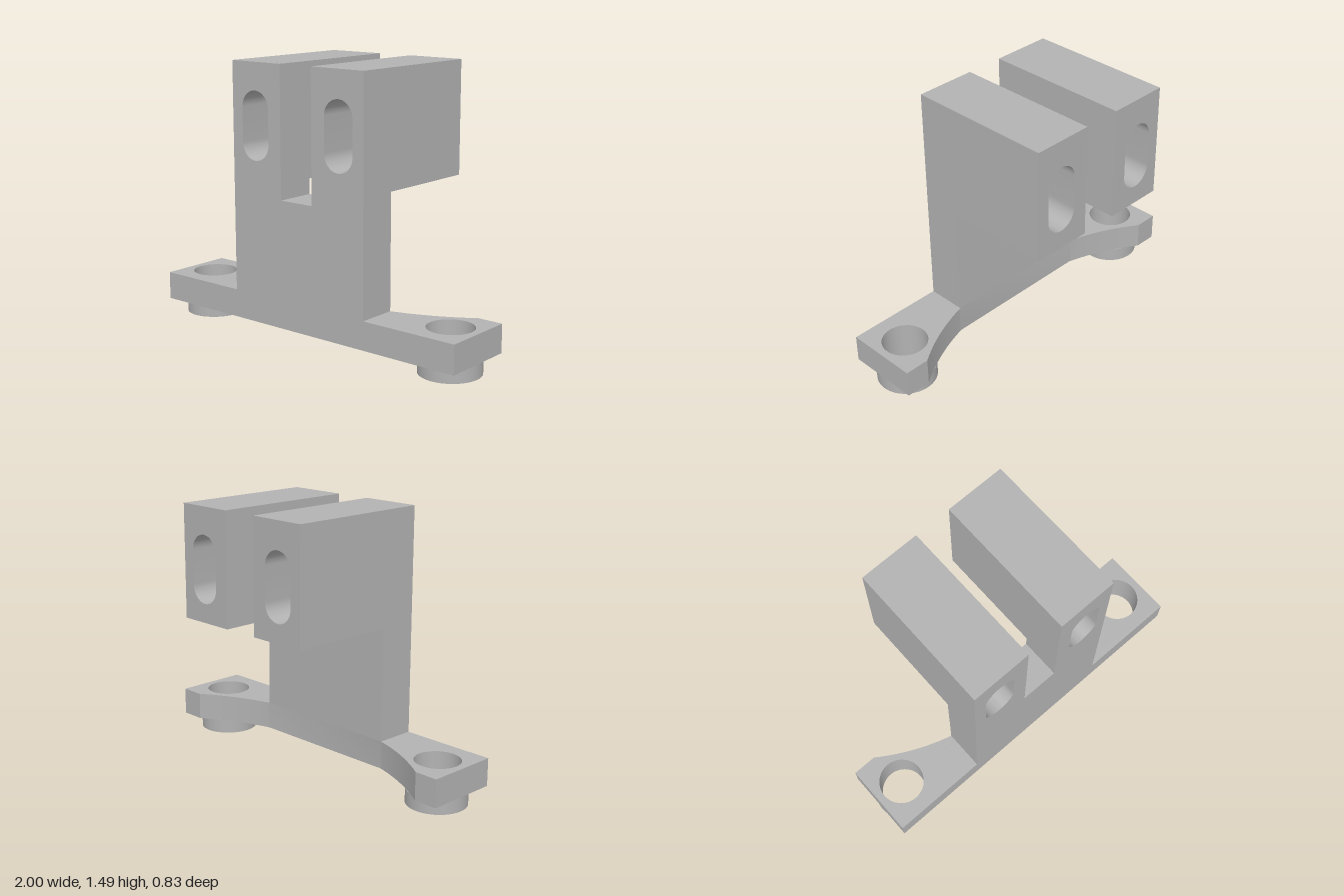
import * as THREE from 'three';
import { toCreasedNormals } from 'three/addons/utils/BufferGeometryUtils.js';

const FRONT = 0.413, WEB_BACK = 0.19;
const BASE_BOTTOM = 0.08, BASE_TOP = 0.235;
const BORE = { x: 0.834, z: 0.205, r: 0.125 };
const CENTER = -0.004; // upright sits slightly off centre

const grey = new THREE.MeshStandardMaterial({ color: 0xb2b2b2 });
grey.name = 'grey';

function extrude(name, shape, depth) {
  const geo = new THREE.ExtrudeGeometry(shape, { depth, bevelEnabled: false, curveSegments: 28 });
  const mesh = new THREE.Mesh(toCreasedNormals(geo, 0.5), grey);
  mesh.name = name;
  return mesh;
}

// Lays a plan outline (drawn with y = -z) flat and lifts it to height y
function layFlat(mesh, y) {
  mesh.rotation.x = -Math.PI / 2;
  mesh.position.y = y;
  return mesh;
}

function circle(x, z, r) {
  return new THREE.Path().absarc(x, -z, r, 0, Math.PI * 2, true);
}

// Mounting foot with concave rear flanks and two bores
function makeBase() {
  const s = new THREE.Shape();
  s.moveTo(-1, -FRONT);
  s.lineTo(1, -FRONT);
  s.lineTo(1, 0.004);
  s.lineTo(0.86, 0.004);
  s.quadraticCurveTo(0.67, -0.13, 0.443, -WEB_BACK);
  s.lineTo(-0.45, -WEB_BACK);
  s.quadraticCurveTo(-0.67, -0.13, -0.865, 0.004);
  s.lineTo(-1, 0.004);
  s.closePath();
  for (const side of [-1, 1]) s.holes.push(circle(side * BORE.x, BORE.z, BORE.r));
  return layFlat(extrude('base', s, BASE_TOP - BASE_BOTTOM), BASE_BOTTOM);
}

// Ring under each bore
function makeBoss(side) {
  const s = new THREE.Shape();
  s.absarc(side * BORE.x, -BORE.z, 0.165, 0, Math.PI * 2, false);
  s.holes.push(circle(side * BORE.x, BORE.z, BORE.r));
  return layFlat(extrude(side > 0 ? 'leftBoss' : 'rightBoss', s, BASE_BOTTOM), 0);
}

// Upright plate with the bottom of the centre notch
function makeUpright() {
  const w = 0.447, n = 0.106, top = 0.865, notch = 0.78;
  const s = new THREE.Shape([
    [-w, BASE_TOP], [w, BASE_TOP], [w, top], [n, top],
    [n, notch], [-n, notch], [-n, top], [-w, top],
  ].map(([x, y]) => new THREE.Vector2(x + CENTER, y)));
  const mesh = extrude('upright', s, FRONT - WEB_BACK);
  mesh.position.z = WEB_BACK;
  return mesh;
}

// Long block with a slot running right through it
function makeArm(side) {
  const x0 = -0.1705, x1 = 0.1705, y0 = 0.865, y1 = 1.493;
  const s = new THREE.Shape();
  s.moveTo(x0, y0);
  s.lineTo(x1, y0);
  s.lineTo(x1, y1);
  s.lineTo(x0, y1);
  s.closePath();
  const r = 0.093, cx = side * 0.0085;
  const slot = new THREE.Path();
  slot.absarc(cx, 1.25, r, 0, Math.PI, false);
  slot.absarc(cx, 1.063, r, Math.PI, Math.PI * 2, false);
  slot.closePath();
  s.holes.push(slot);
  const mesh = extrude(side > 0 ? 'leftArm' : 'rightArm', s, FRONT * 2);
  mesh.position.set(CENTER + side * 0.2765, 0, -FRONT);
  return mesh;
}

export function createModel() {
  const model = new THREE.Group();
  model.name = 'bracket';
  model.add(makeBase(), makeUpright());
  for (const side of [-1, 1]) model.add(makeBoss(side), makeArm(side));
  return model;
}
